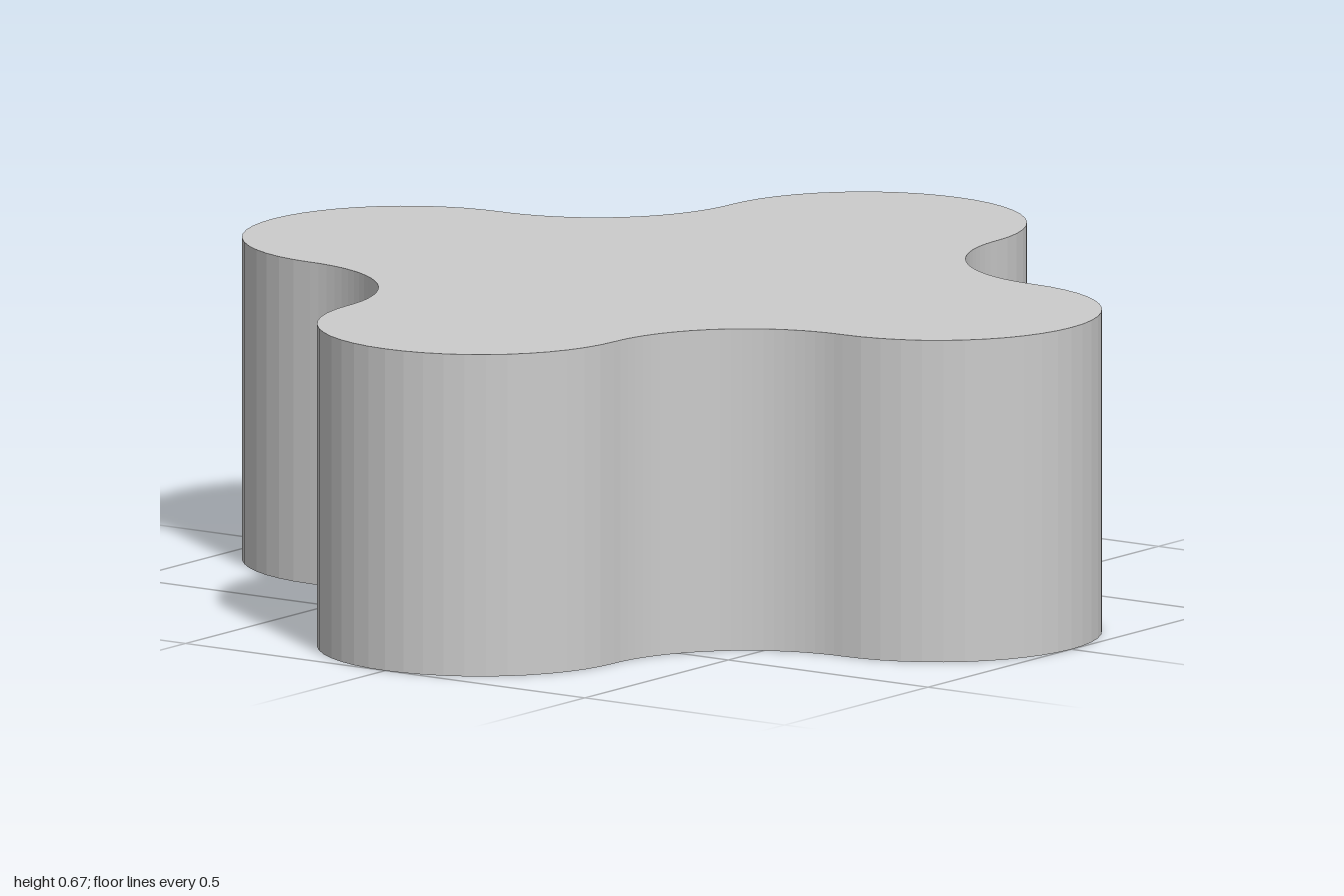
import * as THREE from 'three';

const R = 1 / 3;      // radius of every arc in the outline
const C = 2 / 3;      // distance of arc centres from the axes
const HEIGHT = 2 / 3;

// Four-lobed outline: a rounded arm end, then a concave fillet, per quarter turn
function crossOutline() {
  const shape = new THREE.Shape();
  shape.moveTo(C, -R);
  for (let i = 0; i < 4; i++) {
    const turn = i * Math.PI / 2;
    const cos = Math.cos(turn), sin = Math.sin(turn);
    // arm end
    shape.absarc(C * cos, C * sin, R, turn - Math.PI / 2, turn + Math.PI / 2, false);
    // fillet to the next arm
    shape.absarc(C * (cos - sin), C * (sin + cos), R, turn - Math.PI / 2, turn - Math.PI, true);
  }
  return shape;
}

export function createModel() {
  const group = new THREE.Group();
  group.name = 'roundedCross';

  const geometry = new THREE.ExtrudeGeometry(crossOutline(), {
    depth: HEIGHT, bevelEnabled: false, curveSegments: 12,
  });
  geometry.rotateX(-Math.PI / 2); // stand the extrusion upright on y = 0

  const block = new THREE.Mesh(
    geometry,
    new THREE.MeshStandardMaterial({ color: 0xcccccc, flatShading: true }),
  );
  block.name = 'crossBlock';
  group.add(block);
  return group;
}
